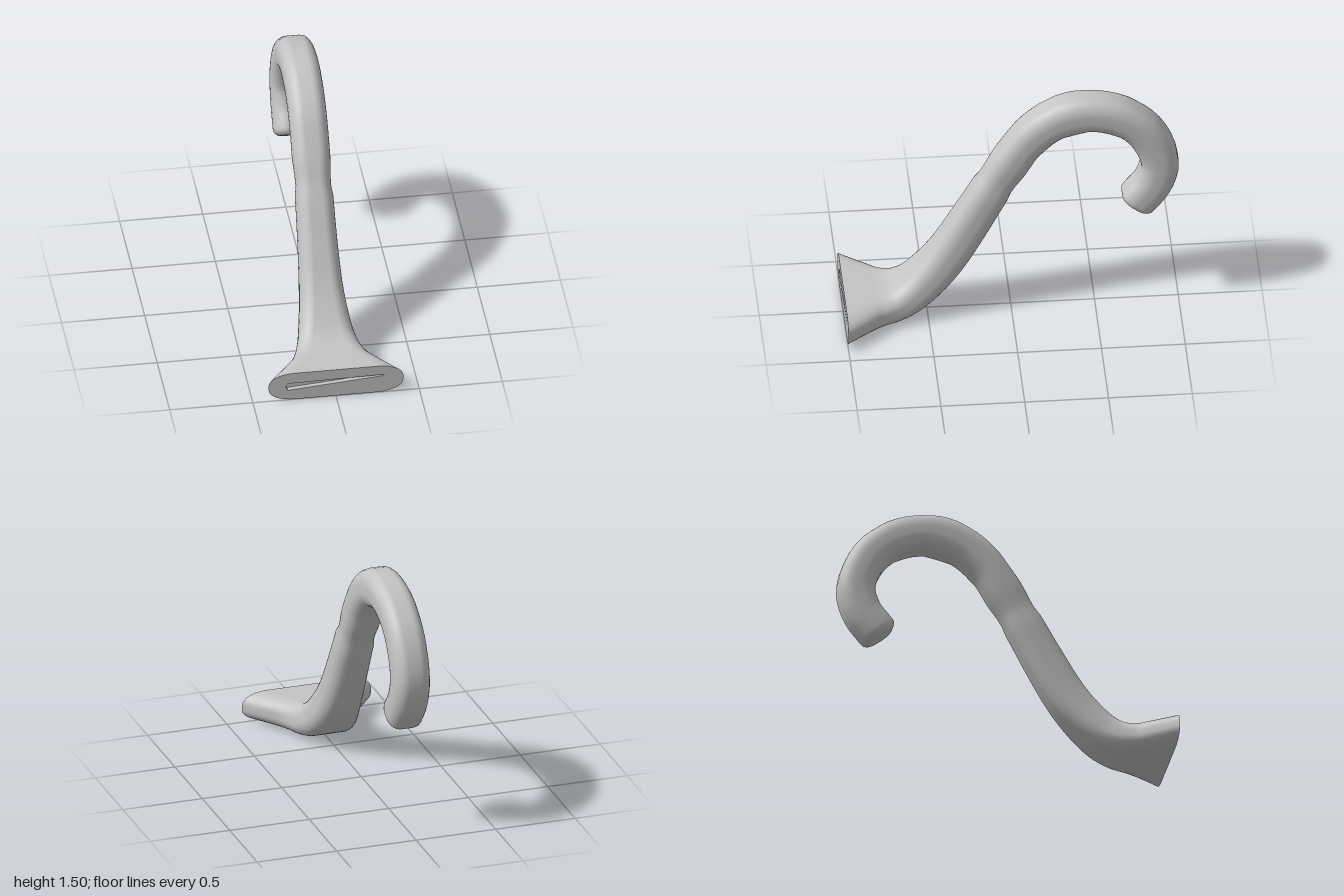
import * as THREE from 'three';

// Stations along the path: z, y, half width, half height, corner width
const STATIONS = [
  [1.0, 0.094, 0.405, 0.093, 0.155],
  [0.88, 0.094, 0.31, 0.093, 0.135],
  [0.775, 0.094, 0.232, 0.094, 0.115],
  [0.69, 0.106, 0.198, 0.099, 0.1],
  [0.594, 0.155, 0.168, 0.108, 0.09],
  [0.475, 0.27, 0.142, 0.115, 0.082],
  [0.375, 0.4, 0.127, 0.117, 0.078],
  [0.257, 0.6, 0.117, 0.116, 0.075],
  [0.123, 0.844, 0.112, 0.112, 0.075],
  [0.005, 1.045, 0.112, 0.112, 0.075],
  [-0.11, 1.215, 0.112, 0.112, 0.075],
  [-0.26, 1.338, 0.112, 0.113, 0.075],
  [-0.46, 1.387, 0.112, 0.113, 0.075],
  [-0.66, 1.337, 0.112, 0.112, 0.075],
  [-0.805, 1.215, 0.112, 0.112, 0.075],
  [-0.888, 1.01, 0.112, 0.112, 0.075],
  [-0.85, 0.855, 0.112, 0.112, 0.075],
  [-0.762, 0.736, 0.112, 0.112, 0.075],
];
const CORNER = 7;
const RINGS = 68;

// Rounded rectangle cross-section, anticlockwise
function section(w, h, rx) {
  const ry = h * 0.82, pts = [];
  [[1, 1], [-1, 1], [-1, -1], [1, -1]].forEach(([sx, sy], q) => {
    for (let k = 0; k <= CORNER; k++) {
      const a = (q + k / CORNER) * Math.PI / 2;
      pts.push(new THREE.Vector2(sx * (w - rx) + rx * Math.cos(a), sy * (h - ry) + ry * Math.sin(a)));
    }
  });
  return pts;
}

// Sweep the section along the path and round off the far tip
function sweep() {
  const path = new THREE.CatmullRomCurve3(STATIONS.map(s => new THREE.Vector3(0, s[1], s[0])));
  const size = new THREE.CatmullRomCurve3(STATIONS.map(s => new THREE.Vector3(s[2], s[3], s[4])));
  const xAxis = new THREE.Vector3(1, 0, 0);
  const pos = [], idx = [];
  const n = 4 * (CORNER + 1);
  let rows = 0;

  function ring(t, scale, push) {
    const dir = path.getTangent(t);
    const up = new THREE.Vector3().crossVectors(xAxis, dir);
    const c = path.getPoint(t).addScaledVector(dir, push);
    const s = size.getPoint(t);
    for (const p of section(s.x, s.y, s.z)) {
      pos.push(p.x * scale, c.y + up.y * p.y * scale, c.z + up.z * p.y * scale);
    }
    rows++;
  }

  for (let i = 0; i <= RINGS; i++) ring(i / RINGS, 1, 0);
  const r = 0.045;
  for (let k = 1; k <= 5; k++) {
    const a = k / 5 * Math.PI / 2;
    ring(1, 1 - r * (1 - Math.cos(a)) / 0.112, r * Math.sin(a));
  }
  ring(1, 0.52, r);
  ring(1, 0.001, r);

  for (let i = 0; i < rows - 1; i++) {
    for (let j = 0; j < n; j++) {
      const a = i * n + j, b = i * n + (j + 1) % n;
      idx.push(a, a + n, b, b, a + n, b + n);
    }
  }
  const geo = new THREE.BufferGeometry();
  geo.setAttribute('position', new THREE.Float32BufferAttribute(pos, 3));
  geo.setIndex(idx);
  geo.computeVertexNormals();
  return geo;
}

export function createModel() {
  const group = new THREE.Group();
  group.name = 'curvedHook';
  const grey = new THREE.MeshStandardMaterial({ color: 0xc4c4c4 });
  grey.name = 'plain grey';

  function add(name, geo) {
    const mesh = new THREE.Mesh(geo, grey);
    mesh.name = name;
    group.add(mesh);
    return mesh;
  }

  // Flared foot, stem and hook in one sweep
  add('hookBody', sweep());

  // Flat front face with a narrow tapered slot
  const slot = [[-0.29, 0.068], [0.29, 0.117], [0.288, 0.124], [-0.29, 0.115], [-0.302, 0.095]]
    .map(p => new THREE.Vector2(p[0], p[1]));
  const [, y0, w, h, rx] = STATIONS[0];
  const face = new THREE.Shape(section(w, h, rx).map(p => new THREE.Vector2(p.x, p.y + y0)));
  face.holes.push(new THREE.Path(slot));
  add('frontFace', new THREE.ShapeGeometry(face)).position.z = 1;

  // Slot interior: an extrusion mirrored so its walls face inward
  const recess = new THREE.ExtrudeGeometry(new THREE.Shape(slot), { depth: 0.03, bevelEnabled: false });
  recess.scale(1, 1, -1);
  recess.computeVertexNormals();
  add('slotRecess', recess).position.z = 1;

  return group;
}
